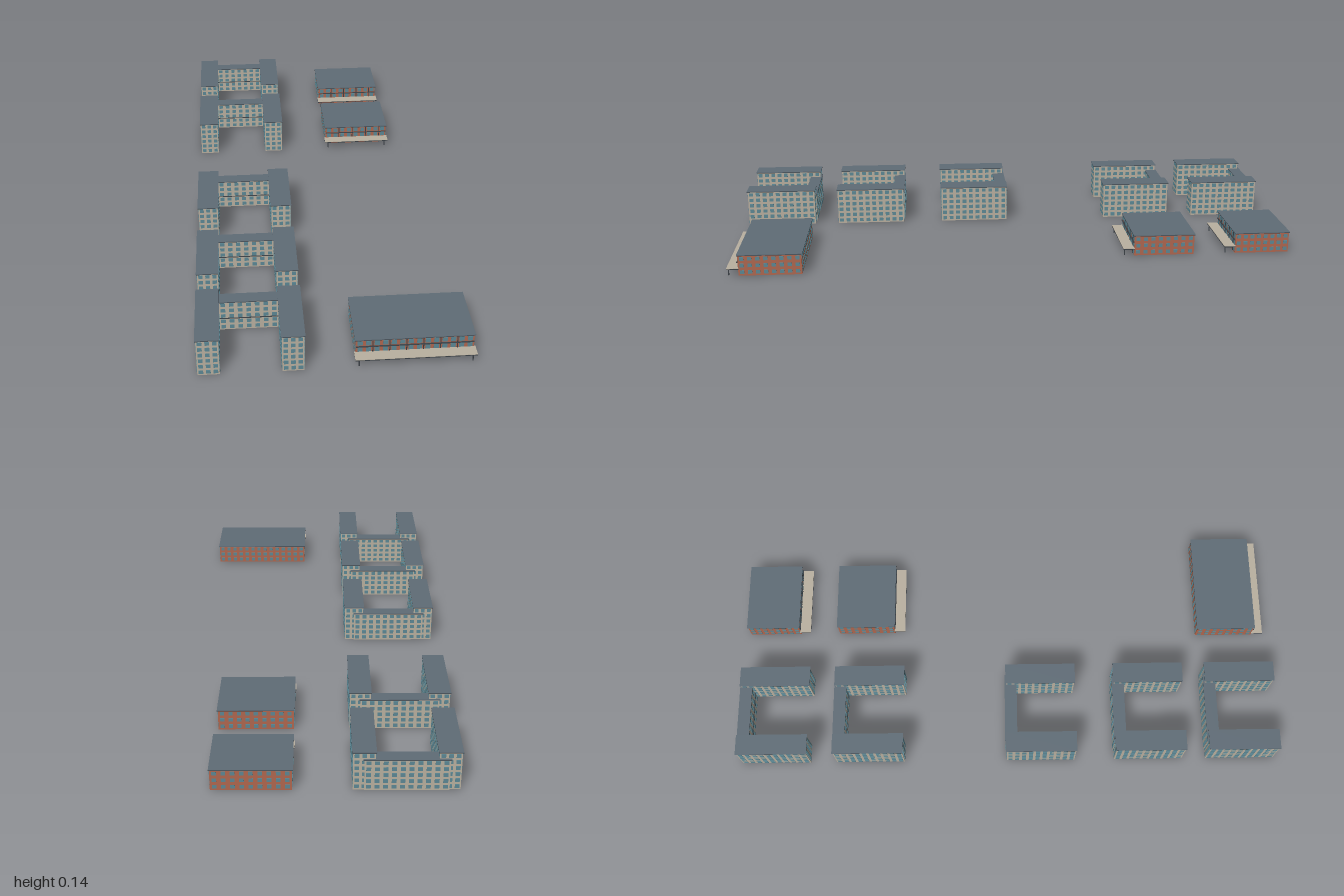
import * as THREE from 'three';
import { mergeGeometries } from 'three/addons/utils/BufferGeometryUtils.js';

const paint = (color) => new THREE.MeshStandardMaterial({ color, flatShading: true });
const mats = {
  beige: paint(0xb9b0a0), brick: paint(0xb0674f), glass: paint(0x5c8895),
  roof: paint(0x5f6c76), dark: paint(0x3c4248),
};

// Box geometry given by its minimum and maximum corners
function boxGeo(x0, x1, y0, y1, z0, z1) {
  return new THREE.BoxGeometry(x1 - x0, y1 - y0, z1 - z0)
    .translate((x0 + x1) / 2, (y0 + y1) / 2, (z0 + z1) / 2);
}

function add(group, name, geos, mat) {
  const mesh = new THREE.Mesh(mergeGeometries([].concat(geos)), mat);
  mesh.name = name;
  group.add(mesh);
}

// Rows of panes standing slightly proud of one face (side: 'front', 'back', 'left', 'right')
function paneRow(b, side, cols, floors, w, h) {
  const out = [], p = 0.0015;
  const alongX = side === 'front' || side === 'back';
  const [a0, a1] = alongX ? [b.x0, b.x1] : [b.z0, b.z1];
  const face = { front: b.z1, back: b.z0, left: b.x1, right: b.x0 }[side];
  for (let f = 0; f < floors; f++) {
    const y = (f + 0.55) * b.h / floors;
    for (let c = 0; c < cols; c++) {
      const a = a0 + (c + 0.5) * (a1 - a0) / cols;
      out.push(alongX
        ? boxGeo(a - w / 2, a + w / 2, y - h / 2, y + h / 2, face - p, face + p)
        : boxGeo(face - p, face + p, y - h / 2, y + h / 2, a - w / 2, a + w / 2));
    }
  }
  return out;
}

// Walls, thin dark cornice and roof slab of one rectangular volume
function volume(group, name, b, wall) {
  const o = 0.003;
  add(group, name + 'Walls', boxGeo(b.x0, b.x1, 0, b.h, b.z0, b.z1), wall);
  add(group, name + 'Cornice', boxGeo(b.x0 - o, b.x1 + o, b.h, b.h + 0.0015, b.z0 - o, b.z1 + o), mats.dark);
  add(group, name + 'Roof', boxGeo(b.x0 - o, b.x1 + o, b.h + 0.0015, b.h + 0.004, b.z0 - o, b.z1 + o), mats.roof);
}

// U-shaped apartment house: two tall wings joined by a lower bar at the back
function apartmentHouse() {
  const g = new THREE.Group();
  g.name = 'apartmentHouse';
  for (const s of [-1, 1]) {
    const c = s * 0.131;
    const wing = { x0: c - 0.0345, x1: c + 0.0345, z0: 0.006, z1: 0.26, h: 0.132 };
    const name = s < 0 ? 'rightWing' : 'leftWing';
    volume(g, name, wing, mats.beige);
    add(g, name + 'Windows', [
      ...paneRow(wing, 'front', 3, 6, 0.014, 0.013), ...paneRow(wing, 'back', 3, 6, 0.014, 0.013),
      ...paneRow(wing, 'left', 10, 6, 0.015, 0.013), ...paneRow(wing, 'right', 10, 6, 0.015, 0.013),
    ], mats.glass);
  }
  const bar = { x0: -0.131, x1: 0.131, z0: 0.003, z1: 0.042, h: 0.108 };
  volume(g, 'linkBar', bar, mats.beige);
  const court = { ...bar, x0: -0.0965, x1: 0.0965 };
  add(g, 'linkBarWindows', [
    ...paneRow(court, 'front', 7, 5, 0.015, 0.013), ...paneRow(bar, 'back', 10, 5, 0.015, 0.013),
  ], mats.glass);
  add(g, 'linkBarLedge', boxGeo(court.x0, court.x1, 0.0445, 0.0465, bar.z1, bar.z1 + 0.003), mats.dark);
  return g;
}

// Brick hall with large windows and a canopy on posts along the front
function brickHall(width, depth) {
  const g = new THREE.Group();
  g.name = 'brickHall';
  const x = width / 2;
  const b = { x0: -x, x1: x, z0: 0.003, z1: depth, h: 0.072 };
  volume(g, 'hall', b, mats.brick);
  const n = Math.round(width / 0.027), m = Math.round(depth / 0.026);
  add(g, 'hallWindows', [
    ...paneRow(b, 'front', n, 3, 0.016, 0.016), ...paneRow(b, 'back', n, 3, 0.014, 0.013),
    ...paneRow(b, 'left', m, 3, 0.014, 0.013), ...paneRow(b, 'right', m, 3, 0.014, 0.013),
  ], mats.glass);

  // Slim pilasters between every second bay and a ledge above the first floor
  const trim = [boxGeo(-x, x, 0.0475, 0.05, depth, depth + 0.004)];
  for (let i = 2; i < n; i += 2) {
    const px = -x + i * width / n;
    trim.push(boxGeo(px - 0.0015, px + 0.0015, 0, b.h, depth, depth + 0.002));
  }
  add(g, 'frontTrim', trim, mats.dark);

  const end = depth + 0.04, cx = x + 0.005;
  add(g, 'canopyEdge', boxGeo(-cx, cx, 0.0235, 0.0265, depth - 0.002, end), mats.dark);
  add(g, 'canopyTop', boxGeo(-cx, cx, 0.0265, 0.028, depth - 0.002, end), mats.beige);
  const posts = [-1, 1].map((s) => new THREE.CylinderGeometry(0.002, 0.002, 0.024, 8)
    .translate(s * (x - 0.008), 0.012, end - 0.006));
  add(g, 'canopyPosts', posts, mats.dark);
  return g;
}

export function createModel() {
  const model = new THREE.Group();
  model.name = 'housingEstate';
  for (const z of [-1, -0.648, -0.01, 0.392, 0.735]) {
    const house = apartmentHouse();
    house.position.set(-0.272, 0, z);
    model.add(house);
  }
  // x, z of the back edge, width, depth
  for (const [x, z, w, d] of [[0.205, -1, 0.252, 0.198], [0.205, -0.654, 0.252, 0.22], [0.243, 0.735, 0.374, 0.22]]) {
    const hall = brickHall(w, d);
    hall.position.set(x, 0, z);
    model.add(hall);
  }
  return model;
}
